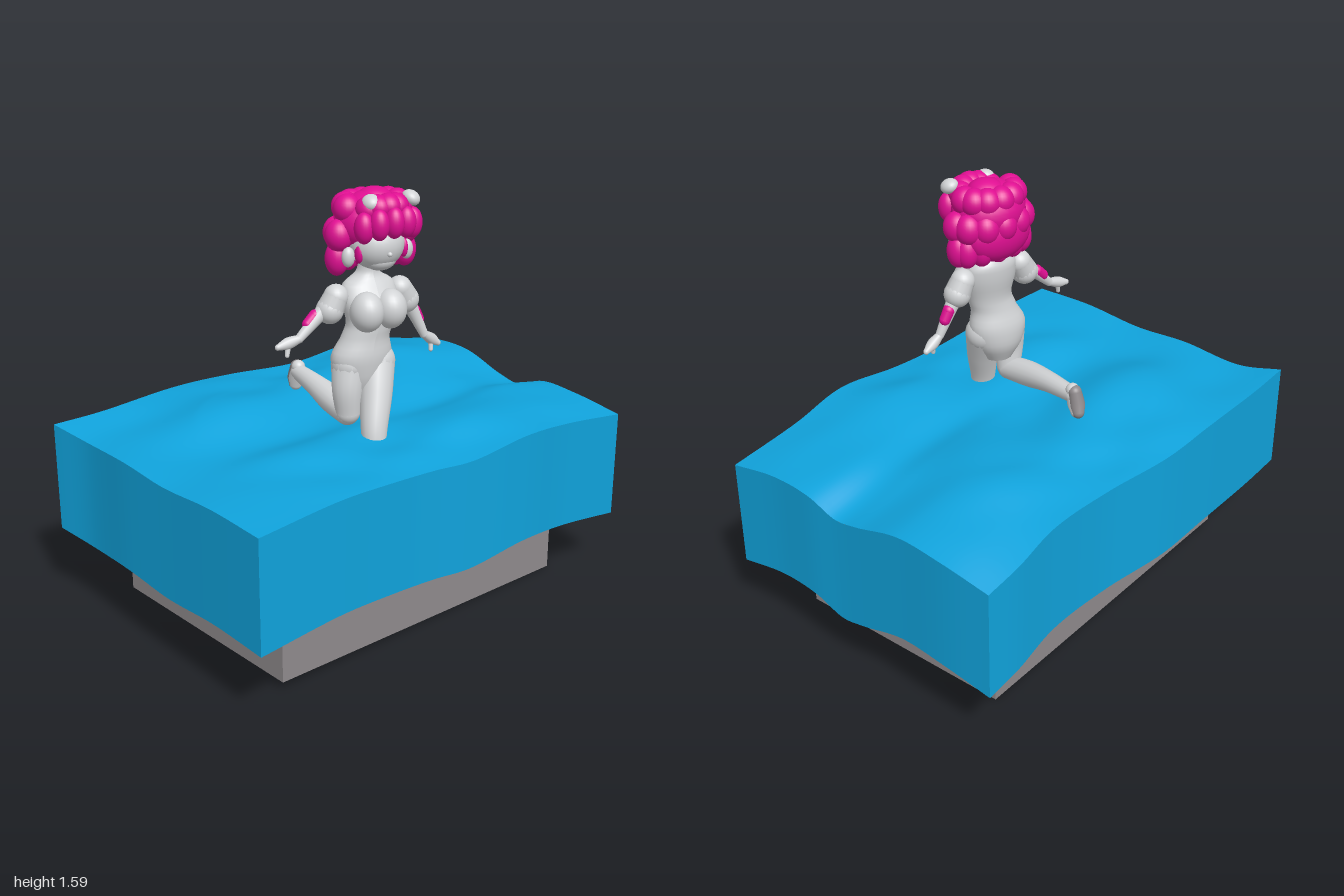
import * as THREE from 'three';

const V = (p) => new THREE.Vector3(p[0], p[1], p[2]);
const curve = (pts) => new THREE.CatmullRomCurve3(pts.map(V));

export function createModel() {
  const model = new THREE.Group();
  const mat = (name, color, side = THREE.FrontSide) =>
    Object.assign(new THREE.MeshStandardMaterial({ color, side }), { name });
  const water = mat('water blue', 0x10a3dc, THREE.DoubleSide);
  const pink = mat('hair pink', 0xe00f92);
  const pale = mat('pale grey', 0xd2d4d6);
  const stone = mat('stone grey', 0x8f8a8c);

  const add = (name, geo, material, parent = model) => {
    const mesh = new THREE.Mesh(geo, material);
    mesh.name = name;
    parent.add(mesh);
    return mesh;
  };
  const group = (name) => {
    const g = new THREE.Group();
    g.name = name;
    model.add(g);
    return g;
  };
  // Ellipsoid at p with radii r
  const blob = (name, p, r, material, parent) => {
    const m = add(name, new THREE.SphereGeometry(1, 24, 16), material, parent);
    m.position.set(...p);
    m.scale.set(...r);
    return m;
  };
  // Tapered limb through [x, y, z, radius] points with rounded ends
  const limb = (name, pts, material, parent) => {
    const n = 20, sides = 16, path = curve(pts);
    const radii = new THREE.CatmullRomCurve3(pts.map((p) => new THREE.Vector3(p[3], 0, 0)));
    const geo = new THREE.TubeGeometry(path, n, 1, sides);
    const pos = geo.attributes.position, v = new THREE.Vector3();
    for (let i = 0; i <= n; i++) {
      const c = path.getPointAt(i / n);
      const r = radii.getPoint(path.getUtoTmapping(i / n)).x;
      for (let j = 0; j <= sides; j++) {
        const k = i * (sides + 1) + j;
        v.fromBufferAttribute(pos, k).sub(c).multiplyScalar(r).add(c);
        pos.setXYZ(k, v.x, v.y, v.z);
      }
    }
    add(name, geo, material, parent);
    for (const p of [pts[0], pts[pts.length - 1]]) blob(name + 'End', p, [p[3], p[3], p[3]], material, parent);
  };
  // Vertical loft through elliptical sections [y, cx, cz, rx, rz]
  const loft = (name, sections, material, parent) => {
    const n = 28;
    const mid = curve(sections.map((s) => [s[1], s[0], s[2]]));
    const rad = curve(sections.map((s) => [s[3], 0, s[4]]));
    const geo = new THREE.CylinderGeometry(1, 1, 1, 32, n);
    const pos = geo.attributes.position;
    for (let i = 0; i < pos.count; i++) {
      const t = pos.getY(i) + 0.5, c = mid.getPoint(t), r = rad.getPoint(t);
      pos.setXYZ(i, c.x + pos.getX(i) * r.x, c.y, c.z + pos.getZ(i) * r.z);
    }
    geo.computeVertexNormals();
    return add(name, geo, material, parent);
  };
  // Grid surface from a rule f(u, v) -> [x, y, z]
  const surface = (nu, nv, f) => {
    const pos = [], idx = [];
    for (let j = 0; j <= nv; j++) for (let i = 0; i <= nu; i++) {
      pos.push(...f(i / nu, j / nv));
      if (i < nu && j < nv) {
        const a = j * (nu + 1) + i, b = a + nu + 1;
        idx.push(a, b, a + 1, b, b + 1, a + 1);
      }
    }
    const geo = new THREE.BufferGeometry();
    geo.setAttribute('position', new THREE.Float32BufferAttribute(pos, 3));
    geo.setIndex(idx);
    geo.computeVertexNormals();
    return geo;
  };

  // Water sheet: four wavy edges, blended across the top, skirts hanging down
  const A = [-0.995, 0.715, -0.41], B = [0.74, 0.66, -0.78];
  const C = [0.99, 0.65, 0.4], D = [-0.74, 0.705, 0.775];
  const front = curve([D, [-0.4, 0.72, 0.69], [-0.2, 0.71, 0.64], [0.02, 0.7, 0.6], [0.18, 0.695, 0.587],
    [0.45, 0.72, 0.54], [0.7, 0.69, 0.46], C]);
  const back = curve([A, [-0.8, 0.71, -0.46], [-0.45, 0.72, -0.55], [-0.2, 0.71, -0.6], [0.1, 0.7, -0.62],
    [0.4, 0.715, -0.69], [0.6, 0.69, -0.755], B]);
  const left = curve([A, [-0.93, 0.69, -0.25], [-0.885, 0.7, 0.02], [-0.84, 0.69, 0.25], [-0.79, 0.71, 0.52], D]);
  const right = curve([B, [0.79, 0.7, -0.6], [0.825, 0.705, -0.4], [0.86, 0.65, -0.2], [0.88, 0.635, -0.1],
    [0.91, 0.68, 0.02], [0.94, 0.68, 0.2], C]);
  const hill = (x, z, cx, cz, w) => Math.exp(-((x - cx) ** 2 + (z - cz) ** 2) / (w * w));
  const sheet = (u, v) => {
    const p = new THREE.Vector3()
      .addScaledVector(back.getPointAt(u), 1 - v).addScaledVector(front.getPointAt(u), v)
      .addScaledVector(left.getPointAt(v), 1 - u).addScaledVector(right.getPointAt(v), u)
      .addScaledVector(V(A), -(1 - u) * (1 - v)).addScaledVector(V(B), -u * (1 - v))
      .addScaledVector(V(C), -u * v).addScaledVector(V(D), -(1 - u) * v);
    const w = Math.min(1, 2 * Math.sin(Math.PI * u) * Math.sin(Math.PI * v));
    const { x, z } = p;
    const swell = 0.04 * hill(x, z, -0.42, -0.3, 0.3) + 0.03 * hill(x, z, 0.38, -0.35, 0.25)
      + 0.015 * hill(x, z, -0.05, 0.2, 0.35);
    const ripple = 0.009 * Math.sin(15 * z + 4 * x + 1.5 * Math.sin(5 * x))
      + 0.005 * Math.sin(11 * x - 9 * z + 2 * Math.sin(6 * z));
    return [x, p.y + w * (swell + ripple), z];
  };
  const sea = group('water');
  add('waterTop', surface(72, 60, sheet), water, sea);
  const skirts = {
    frontSkirt: (t) => front.getPointAt(t), rightSkirt: (t) => back.getPointAt(1 - t),
    leftEndSkirt: (t) => left.getPointAt(t), rightEndSkirt: (t) => right.getPointAt(1 - t),
  };
  for (const [name, edge] of Object.entries(skirts)) {
    add(name.replace('rightSkirt', 'backSkirt'), surface(72, 1, (t, d) => {
      const p = edge(t);
      return [p.x, p.y - 0.42 * d, p.z];
    }), water, sea);
  }

  // Stone plinth: a box bent to its skewed footprint
  const plinth = new THREE.BoxGeometry(2, 2, 2).toNonIndexed();
  const pp = plinth.attributes.position;
  for (let i = 0; i < pp.count; i++) {
    const x = pp.getX(i), y = pp.getY(i), z = pp.getZ(i);
    pp.setXYZ(i, x * 0.669 - z * -0.099 * -1 * -1, y > 0 ? 0.55 : 0.018 - 0.017 * x, z * 0.44 - x * 0.145);
  }
  plinth.computeVertexNormals();
  add('plinth', plinth, stone);

  // Torso
  const body = group('body');
  loft('torso', [[0.86, -0.03, 0.17, 0.055, 0.05], [0.93, -0.028, 0.165, 0.1, 0.078], [1.0, -0.027, 0.168, 0.116, 0.083],
    [1.07, -0.015, 0.175, 0.092, 0.07], [1.12, 0, 0.18, 0.09, 0.068], [1.2, 0.004, 0.175, 0.108, 0.076],
    [1.26, 0.006, 0.155, 0.098, 0.06], [1.3, 0.008, 0.15, 0.04, 0.04], [1.36, 0.012, 0.16, 0.034, 0.034]], pale, body);
  for (const s of [-1, 1]) blob('chest', [0.005 + s * 0.047, 1.175, 0.232], [0.06, 0.072, 0.066], pale, body);

  // Legs: one thigh sinking into the water, one kneeling with the shin behind
  const legs = group('legs');
  limb('leftThigh', [[0.03, 0.97, 0.18, 0.068], [0.002, 0.86, 0.225, 0.06], [-0.028, 0.74, 0.265, 0.048],
    [-0.035, 0.66, 0.28, 0.04]], pale, legs);
  limb('rightThigh', [[-0.075, 0.97, 0.17, 0.068], [-0.09, 0.88, 0.18, 0.056], [-0.085, 0.79, 0.175, 0.045]], pale, legs);
  limb('rightShin', [[-0.085, 0.785, 0.17, 0.045], [-0.09, 0.803, 0.07, 0.05], [-0.092, 0.82, -0.06, 0.04],
    [-0.09, 0.828, -0.2, 0.03]], pale, legs);
  limb('rightFoot', [[-0.09, 0.848, -0.2, 0.026], [-0.09, 0.8, -0.218, 0.031], [-0.088, 0.77, -0.228, 0.024]], pale, legs);
  limb('rightSole', [[-0.09, 0.845, -0.212, 0.026], [-0.09, 0.8, -0.226, 0.03], [-0.088, 0.77, -0.236, 0.023]], stone, legs);

  // Arms: puffed sleeve, forearm, pink band on the outer side, hand and thumb
  const arm = (side, shoulder, elbow, wrist, tip, thumb) => {
    const g = group(side + 'Arm'), s = Math.sign(wrist[0]);
    limb('sleeve', [[...shoulder, 0.045], [shoulder[0] + s * 0.025, shoulder[1] - 0.045, 0.16, 0.05]], pale, g);
    limb('forearm', [[...shoulder, 0.034], [...elbow, 0.025], [...wrist, 0.016]], pale, g);
    const band = [0.1, 0.45].map((t) => {
      const p = V(elbow).lerp(V(wrist), t);
      return [p.x + s * 0.008, p.y + 0.004, p.z - 0.005, 0.023 - 0.006 * t];
    });
    limb('armBand', band, pink, g);
    const palm = V(wrist).lerp(V(tip), 0.5).toArray();
    limb('hand', [[...wrist, 0.015], [...palm, 0.021], [...tip, 0.011]], pale, g);
    limb('thumb', [[...palm, 0.011], [...thumb, 0.008]], pale, g);
  };
  arm('right', [-0.125, 1.225, 0.16], [-0.19, 1.17, 0.16], [-0.275, 1.095, 0.165], [-0.355, 1.075, 0.16], [-0.325, 1.043, 0.17]);
  arm('left', [0.135, 1.22, 0.16], [0.19, 1.13, 0.16], [0.24, 1.03, 0.165], [0.305, 0.985, 0.16], [0.268, 0.968, 0.17]);

  // Head and ears
  const head = group('head');
  blob('face', [0.02, 1.405, 0.19], [0.1, 0.09, 0.092], pale, head);
  blob('chin', [0.02, 1.355, 0.215], [0.06, 0.04, 0.05], pale, head);
  blob('nose', [0.02, 1.385, 0.28], [0.009, 0.009, 0.01], pale, head);
  for (const s of [-1, 1]) {
    blob('ear', [0.025 + s * 0.118, 1.37, 0.19], [0.024, 0.036, 0.022], pale, head);
    blob('sideburn', [0.025 + s * 0.09, 1.385, 0.215], [0.014, 0.035, 0.02], pink, head);
  }

  // Hair: a core with curls around the fringe, crown, sides and nape
  const hair = group('hair');
  blob('hairCore', [0.025, 1.475, 0.145], [0.14, 0.11, 0.125], pink, hair);
  blob('hairBack', [0.025, 1.4, 0.09], [0.135, 0.1, 0.07], pink, hair);
  for (let i = -2; i <= 2; i++) {
    const a = i * 0.42;
    blob('fringeCurl', [0.035 + 0.13 * Math.sin(a), 1.495 - 0.004 * i * i, 0.165 + 0.118 * Math.cos(a)],
      [0.035, 0.055, 0.037], pink, hair);
    blob('crownCurl', [0.035 + 0.085 * Math.sin(a), 1.545 - 0.003 * i * i, 0.15 + 0.09 * Math.cos(a)],
      [0.045, 0.045, 0.05], pink, hair);
  }
  for (let i = 0; i < 7; i++) {
    const a = Math.PI * (i / 6), c = Math.cos(a), s = Math.sin(a);
    blob('upperCurl', [0.025 + 0.1 * c, 1.53, 0.15 - 0.075 * s], [0.05, 0.052, 0.05], pink, hair);
    blob('middleCurl', [0.027 + 0.135 * c, 1.44, 0.15 - 0.092 * s], [0.05, 0.058, 0.05], pink, hair);
    blob('lowerCurl', [0.03 + 0.138 * c, 1.355, 0.135 - 0.05 * s], [0.042, 0.062, 0.044], pink, hair);
  }
  blob('topCurl', [0.04, 1.545, 0.14], [0.07, 0.05, 0.07], pink, hair);
  // Pale ornaments on the hair
  for (const s of [-1, 1]) {
    const m = blob('hairOrnament', [0.053 + s * 0.08, 1.562, 0.23], [0.032, 0.026, 0.036], pale, hair);
    m.rotation.set(0.25, 0, -s * 0.4);
  }
  return model;
}
